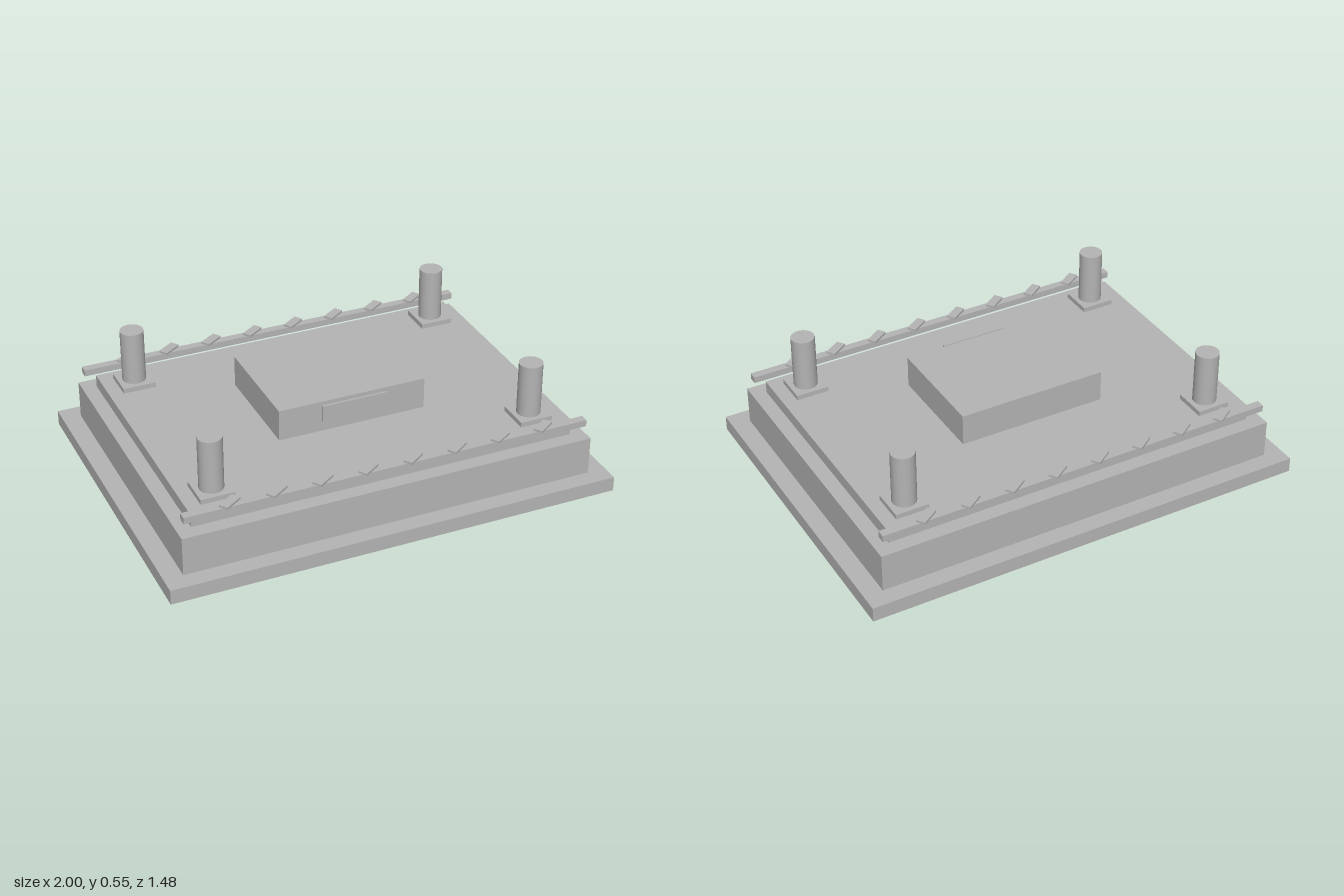
import * as THREE from 'three';

export function createModel() {
  const model = new THREE.Group();
  model.name = 'steppedPlatform';
  const grey = new THREE.MeshStandardMaterial({ color: 0xb4b4b4 });
  grey.name = 'plain grey';

  const add = (name, geometry, x, y, z) => {
    const mesh = new THREE.Mesh(geometry, grey);
    mesh.name = name;
    mesh.position.set(x, y, z);
    model.add(mesh);
    return mesh;
  };
  // Box spanning y0 to y1, centred at x, z
  const box = (name, w, d, y0, y1, x = 0, z = 0) =>
    add(name, new THREE.BoxGeometry(w, y1 - y0, d), x, (y0 + y1) / 2, z);

  // Stepped base
  box('baseSlab', 2, 1.476, 0, 0.066);
  box('middleTier', 1.834, 1.32, 0.066, 0.237);
  box('topTier', 1.706, 1.19, 0.237, 0.293);

  // Central block with its front plaque
  box('centralBlock', 0.666, 0.498, 0.308, 0.448);
  box('plaque', 0.294, 0.01, 0.367, 0.44, 0, 0.27);

  // Corner posts on square pads
  for (const x of [-0.718, 0.718]) {
    for (const z of [-0.47, 0.47]) {
      box('postPad', 0.147, 0.147, 0.293, 0.315, x, z);
      add('post', new THREE.CylinderGeometry(0.052, 0.052, 0.238, 16), x, 0.434, z);
    }
  }

  // Front and back rails, each with a row of slanted slats
  for (const z of [-0.625, 0.625]) {
    box('rail', 1.8, 0.038, 0.293, 0.322, 0, z);
    for (let i = 0; i < 8; i++) {
      const slat = box('slat', 0.09, 0.041, 0.327, 0.337, -0.7 + i * 0.2, z);
      slat.rotation.y = 0.6;
    }
  }
  return model;
}
